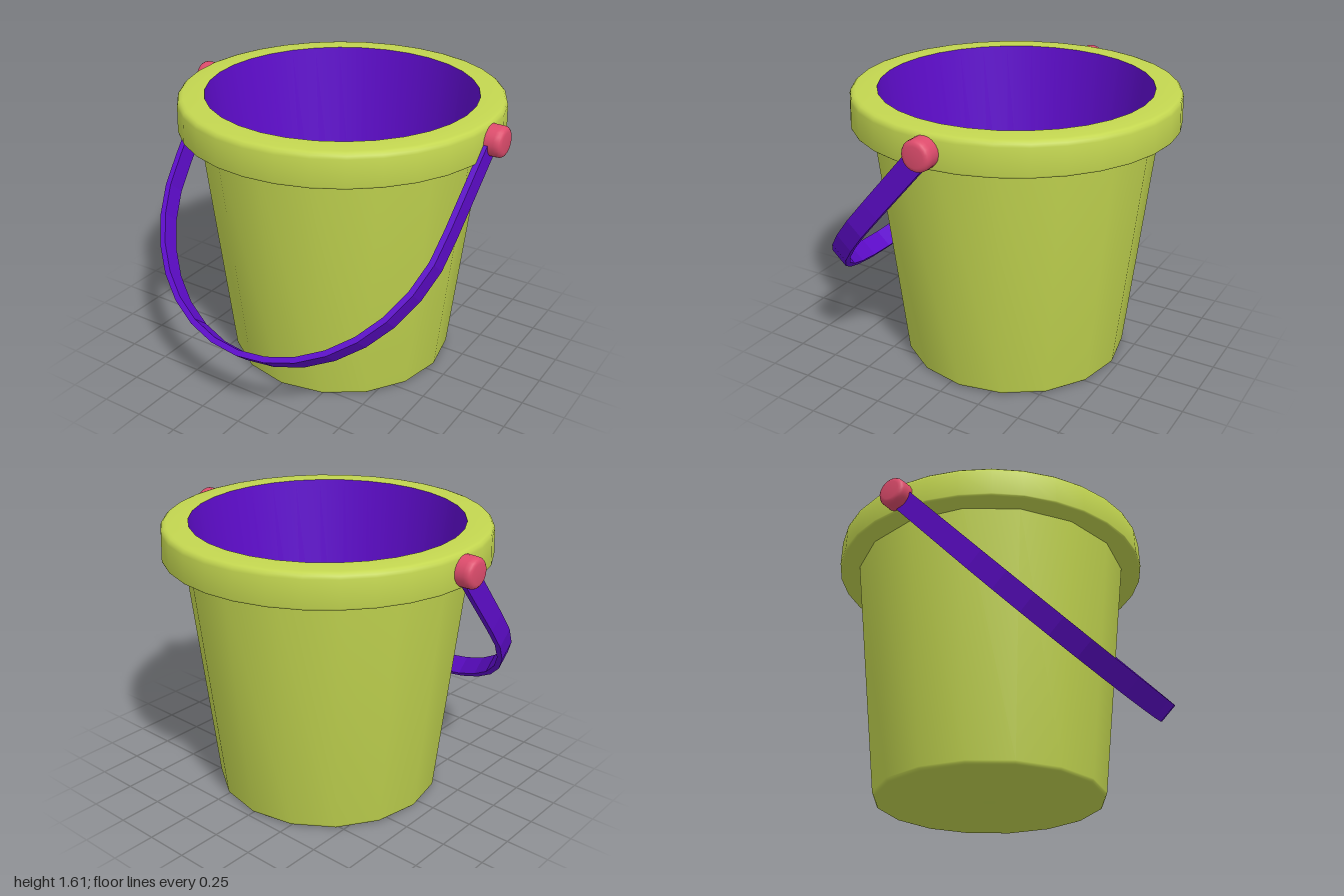
import * as THREE from 'three';
import { toCreasedNormals } from 'three/addons/utils/BufferGeometryUtils.js';

const CENTER_Z = -0.06; // bucket axis
const PIVOT_Y = 1.51; // height of the handle pivots

function material(name, color) {
  const m = new THREE.MeshStandardMaterial({ color });
  m.name = name;
  return m;
}

// Turned part from [radius, height] pairs, keeping hard edges sharp
function turned(name, profile, sides, mat) {
  const points = profile.map(([r, y]) => new THREE.Vector2(r, y));
  const geometry = toCreasedNormals(new THREE.LatheGeometry(points, sides), 0.65);
  const mesh = new THREE.Mesh(geometry, mat);
  mesh.name = name;
  return mesh;
}

// Quarter-round corner about (r, y), between two angles
function corner(r, y, radius, from, to, steps = 3) {
  return Array.from({ length: steps + 1 }, (_, i) => {
    const a = from + ((to - from) * i) / steps;
    return [r + radius * Math.cos(a), y + radius * Math.sin(a)];
  });
}

export function createModel() {
  const green = material('lime green', 0xc3d650);
  const purple = material('deep purple', 0x5e0ccb);
  const pink = material('coral pink', 0xdd4c6c);

  const model = new THREE.Group();
  model.name = 'bucket';
  const bucket = new THREE.Group();
  bucket.name = 'pail';
  bucket.position.z = CENTER_Z;
  model.add(bucket);

  // Tapered outer wall with a closed, slightly rounded base
  bucket.add(turned('outerWall', [
    [0, 0], ...corner(0.636, 0.02, 0.02, -Math.PI / 2, 0), [0.807, 1.44],
  ], 16, green));

  // Thick rim
  bucket.add(turned('rim', [
    [0.74, 1.42], ...corner(0.908, 1.432, 0.012, -Math.PI / 2, 0),
    ...corner(0.882, 1.577, 0.033, 0, Math.PI / 2), [0.765, 1.61],
  ], 32, green));

  // Inner wall and floor
  bucket.add(turned('lining', [[0.765, 1.61], [0.58, 0.06], [0, 0.06]], 32, purple));

  // Pivot knobs, mirrored left and right
  const knobProfile = [
    [0.085, 0], [0.085, 0.06], ...corner(0.055, 0.07, 0.03, 0.3, Math.PI / 2), [0, 0.1],
  ];
  for (const side of [1, -1]) {
    const knob = turned(side > 0 ? 'leftKnob' : 'rightKnob', knobProfile, 20, pink);
    knob.rotation.z = (-side * Math.PI) / 2;
    knob.position.set(side * 0.9, PIVOT_Y, 0);
    bucket.add(knob);
  }

  // Handle: flat strip along straight arms and a half ellipse
  const outline = (inset) => {
    const pts = [new THREE.Vector2(0.935 - inset, 0)];
    const steps = 16;
    for (let i = 0; i <= steps; i++) {
      const a = (Math.PI * i) / steps;
      pts.push(new THREE.Vector2(
        (0.905 - inset) * Math.cos(a), -0.54 - (0.965 - inset) * Math.sin(a)));
    }
    pts.push(new THREE.Vector2(-0.935 + inset, 0));
    return pts;
  };
  const strip = new THREE.Shape([...outline(0), ...outline(0.033).reverse()]);
  const stripGeometry = new THREE.ExtrudeGeometry(strip, { depth: 0.12, bevelEnabled: false });
  stripGeometry.translate(0, 0, -0.06);
  const handle = new THREE.Mesh(stripGeometry, purple);
  handle.name = 'handle';
  handle.position.y = PIVOT_Y;
  handle.rotation.x = -0.73; // swung down to the front
  bucket.add(handle);

  return model;
}
